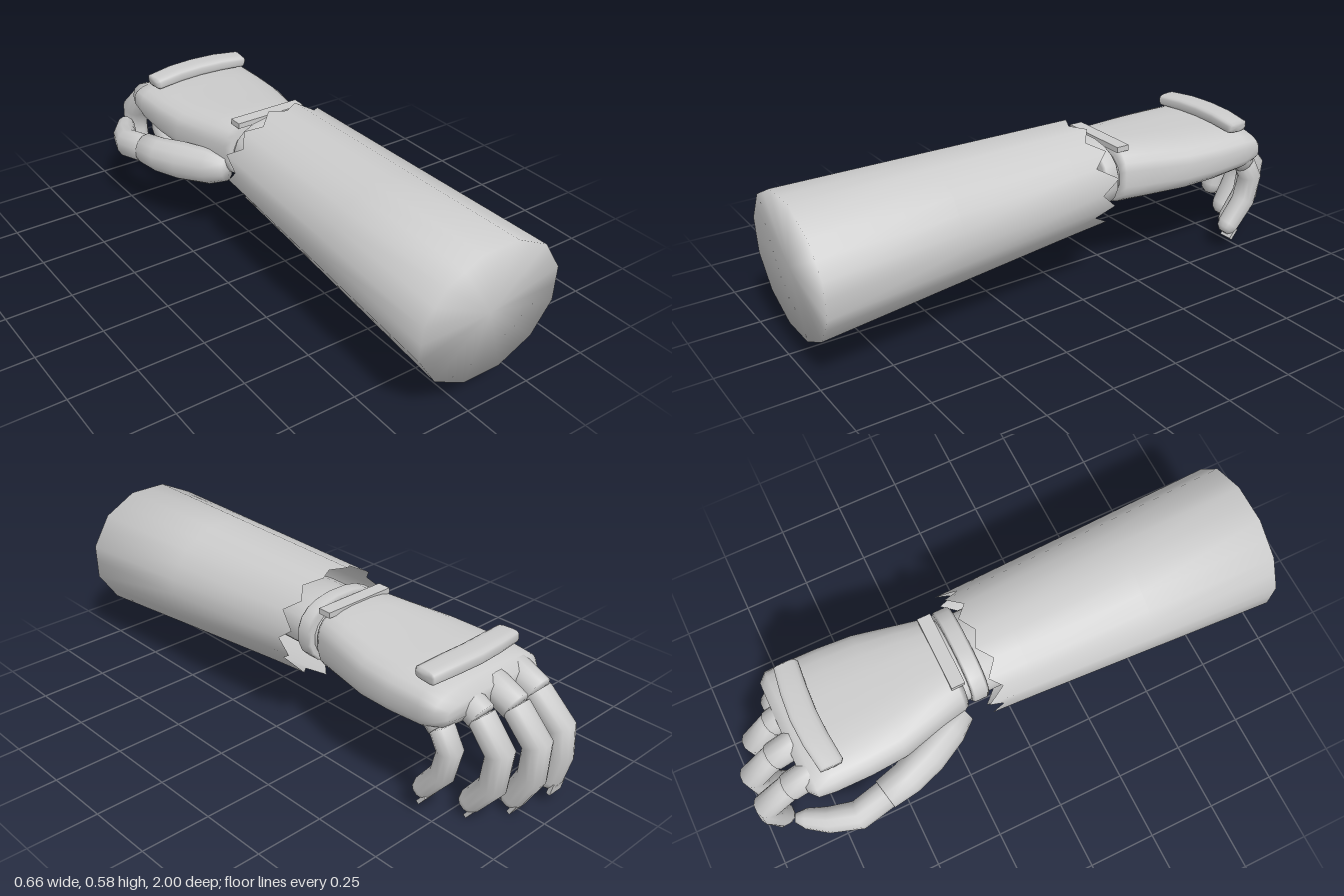
import * as THREE from 'three';

const grey = new THREE.MeshStandardMaterial({ color: 0xcccccc, side: THREE.DoubleSide });
grey.name = 'plain grey';

// Joins rings of points into a smooth skin, with optional end caps
function loft(rings, capStart = true, capEnd = true) {
  const n = rings[0].length, pos = [], idx = [];
  for (const ring of rings) for (const p of ring) pos.push(p.x, p.y, p.z);
  for (let i = 0; i < rings.length - 1; i++) {
    for (let j = 0; j < n; j++) {
      const a = i * n + j, b = i * n + (j + 1) % n;
      idx.push(a, b, a + n, b, b + n, a + n);
    }
  }
  const cap = (ring, start, flip) => {
    const c = new THREE.Vector3();
    ring.forEach(p => c.addScaledVector(p, 1 / n));
    const k = pos.length / 3;
    pos.push(c.x, c.y, c.z);
    for (let j = 0; j < n; j++) {
      const a = start + j, b = start + (j + 1) % n;
      if (flip) idx.push(k, b, a); else idx.push(k, a, b);
    }
  };
  if (capStart) cap(rings[0], 0, true);
  if (capEnd) cap(rings[rings.length - 1], (rings.length - 1) * n, false);
  const g = new THREE.BufferGeometry();
  g.setAttribute('position', new THREE.Float32BufferAttribute(pos, 3));
  g.setIndex(idx);
  g.computeVertexNormals();
  return g;
}

// Sweeps an oval along stations [x, y, z, radiusU, radiusV]; power < 1 makes it boxier
function sweep(stations, ref, sides = 12, power = 1) {
  const pts = stations.map(s => new THREE.Vector3(s[0], s[1], s[2]));
  const pw = v => Math.sign(v) * Math.pow(Math.abs(v), power);
  return loft(pts.map((p, i) => {
    const t = pts[Math.min(i + 1, pts.length - 1)].clone().sub(pts[Math.max(i - 1, 0)]).normalize();
    const u = ref.clone().cross(t).normalize(), v = t.clone().cross(u);
    const [, , , ru, rv = ru] = stations[i];
    return Array.from({ length: sides }, (_, j) => {
      const a = (j + 0.5) / sides * Math.PI * 2;
      return p.clone().addScaledVector(u, ru * pw(Math.cos(a))).addScaledVector(v, rv * pw(Math.sin(a)));
    });
  }));
}

const X = new THREE.Vector3(1, 0, 0), Y = new THREE.Vector3(0, 1, 0);

function addMesh(parent, name, geometry) {
  const m = new THREE.Mesh(geometry, grey);
  m.name = name;
  parent.add(m);
  return m;
}

// Twelve-sided tapered sleeve with a torn rim
function sleeveGeometry() {
  const tears = [-0.125, -0.11, -0.105, -0.1, -0.1, -0.125, -0.115, -0.11, -0.125, -0.12, -0.12, -0.11];
  const valleys = [-0.05, -0.06, -0.07, -0.055, -0.06, -0.07, -0.04, -0.06, -0.05, -0.07, -0.05, -0.06];
  const ring = f => Array.from({ length: 24 }, (_, j) => {
    const a = (j + 1) * Math.PI / 12, r = j % 2 ? Math.cos(Math.PI / 12) : 1;
    const rim = j % 2 ? valleys[(j - 1) / 2] : tears[j / 2];
    const y = THREE.MathUtils.lerp(0.394, 0.342, f) + THREE.MathUtils.lerp(0.19, 0.246, f) * r * Math.sin(a);
    const z = f === 0 ? rim : f === 1 ? 1 - 0.018 * (0.58 - y) / 0.475 : f * 1.1 - 0.1;
    return new THREE.Vector3(
      THREE.MathUtils.lerp(0.057, 0.06, f) + THREE.MathUtils.lerp(0.23, 0.28, f) * r * Math.cos(a), y, z);
  });
  return loft([0, 0.13, 0.55, 1].map(ring), false, true);
}

export function createModel() {
  const model = new THREE.Group();
  model.name = 'forearmAndHand';
  addMesh(model, 'sleeve', sleeveGeometry());

  // Wrist: a thin core with a wider cuff
  addMesh(model, 'wristCore', sweep([
    [0.055, 0.4, -0.22, 0.155, 0.1], [0.055, 0.4, 0.05, 0.155, 0.1]], Y, 20, 0.9));
  addMesh(model, 'wristCuff', sweep([
    [0.06, 0.405, -0.163, 0.168, 0.113], [0.06, 0.405, -0.155, 0.176, 0.121],
    [0.06, 0.405, -0.11, 0.176, 0.121], [0.06, 0.405, -0.1, 0.168, 0.113]], Y, 20, 0.85));

  // Palm, from the knuckles back to the wrist
  addMesh(model, 'palm', sweep([
    [0.05, 0.41, -0.8, 0.215, 0.03], [0.05, 0.41, -0.772, 0.243, 0.065],
    [0.05, 0.403, -0.71, 0.247, 0.088], [0.05, 0.398, -0.58, 0.246, 0.097],
    [0.05, 0.396, -0.45, 0.236, 0.104], [0.05, 0.398, -0.3, 0.2, 0.112],
    [0.05, 0.4, -0.2, 0.176, 0.115], [0.05, 0.4, -0.182, 0.165, 0.105]], Y, 24, 0.68));
  const plate = addMesh(model, 'wristPlate', new THREE.BoxGeometry(0.28, 0.02, 0.05));
  plate.position.set(0.06, 0.51, -0.2);

  // Bowed guard across the knuckles
  addMesh(model, 'knuckleGuard', sweep([
    [-0.147, 0.503, -0.69, 0.034, 0.015], [-0.14, 0.504, -0.69, 0.043, 0.023],
    [-0.04, 0.51, -0.703, 0.046, 0.025], [0.055, 0.511, -0.708, 0.047, 0.025],
    [0.15, 0.51, -0.703, 0.046, 0.025], [0.248, 0.504, -0.692, 0.043, 0.023],
    [0.255, 0.503, -0.692, 0.034, 0.015]], X.clone().set(0, 1, 0), 16, 0.6));

  // Curled fingers: x, radius, then knuckle-to-tip points as [y, z]
  const fingers = [
    ['indexFinger', -0.107, 0.047, [[0.42, -0.75], [0.375, -0.85], [0.285, -0.95], [0.19, -0.953], [0.095, -0.93]]],
    ['middleFinger', 0.015, 0.047, [[0.42, -0.76], [0.375, -0.86], [0.28, -0.953], [0.16, -0.945], [0.055, -0.885]]],
    ['ringFinger', 0.13, 0.046, [[0.42, -0.73], [0.37, -0.82], [0.275, -0.902], [0.15, -0.885], [0.055, -0.81]]],
    ['littleFinger', 0.235, 0.041, [[0.4, -0.7], [0.35, -0.755], [0.28, -0.794], [0.185, -0.77], [0.1, -0.7]]],
  ];
  for (const [name, x, r, p] of fingers) {
    const finger = new THREE.Group();
    finger.name = name;
    model.add(finger);
    const [base, knuckle, middle, joint, tip] = p;
    addMesh(finger, 'baseJoint', sweep([
      [x, ...base, r * 1.12], [x, ...knuckle, r * 1.1]], X, 12));
    const dir = new THREE.Vector2(tip[0] - joint[0], tip[1] - joint[1]).normalize();
    const ahead = d => [tip[0] + dir.x * d * r, tip[1] + dir.y * d * r];
    addMesh(finger, 'fingerTube', sweep([
      [x, ...knuckle, r * 0.98], [x, ...middle, r * 1.02], [x, ...joint, r],
      [x, ...tip, r * 0.92], [x, ...ahead(0.5), r * 0.78], [x, ...ahead(0.85), r * 0.42]], X, 12, 0.9));
    // Nail lies on the outer side of the fingertip
    const nail = addMesh(finger, 'fingernail', new THREE.BoxGeometry(r * 1.25, 0.045, 0.014));
    nail.position.set(x, tip[0] + dir.x * 0.022 + dir.y * -0.03, tip[1] + dir.y * 0.022 + dir.x * 0.03);
    nail.rotation.x = Math.atan2(-dir.y, -dir.x);
  }

  // Thumb: broad base and bent outer section
  const thumb = new THREE.Group();
  thumb.name = 'thumb';
  model.add(thumb);
  addMesh(thumb, 'thumbBase', sweep([
    [-0.12, 0.335, -0.2, 0.035, 0.045], [-0.15, 0.325, -0.27, 0.058, 0.068],
    [-0.2, 0.315, -0.38, 0.066, 0.074], [-0.237, 0.305, -0.48, 0.062, 0.068],
    [-0.255, 0.3, -0.57, 0.056, 0.06]], Y, 12));
  addMesh(thumb, 'thumbTip', sweep([
    [-0.254, 0.3, -0.56, 0.052, 0.056], [-0.276, 0.28, -0.68, 0.052, 0.056],
    [-0.243, 0.266, -0.78, 0.046, 0.05], [-0.203, 0.264, -0.85, 0.036, 0.042],
    [-0.186, 0.264, -0.88, 0.018, 0.024]], Y, 12));
  return model;
}
